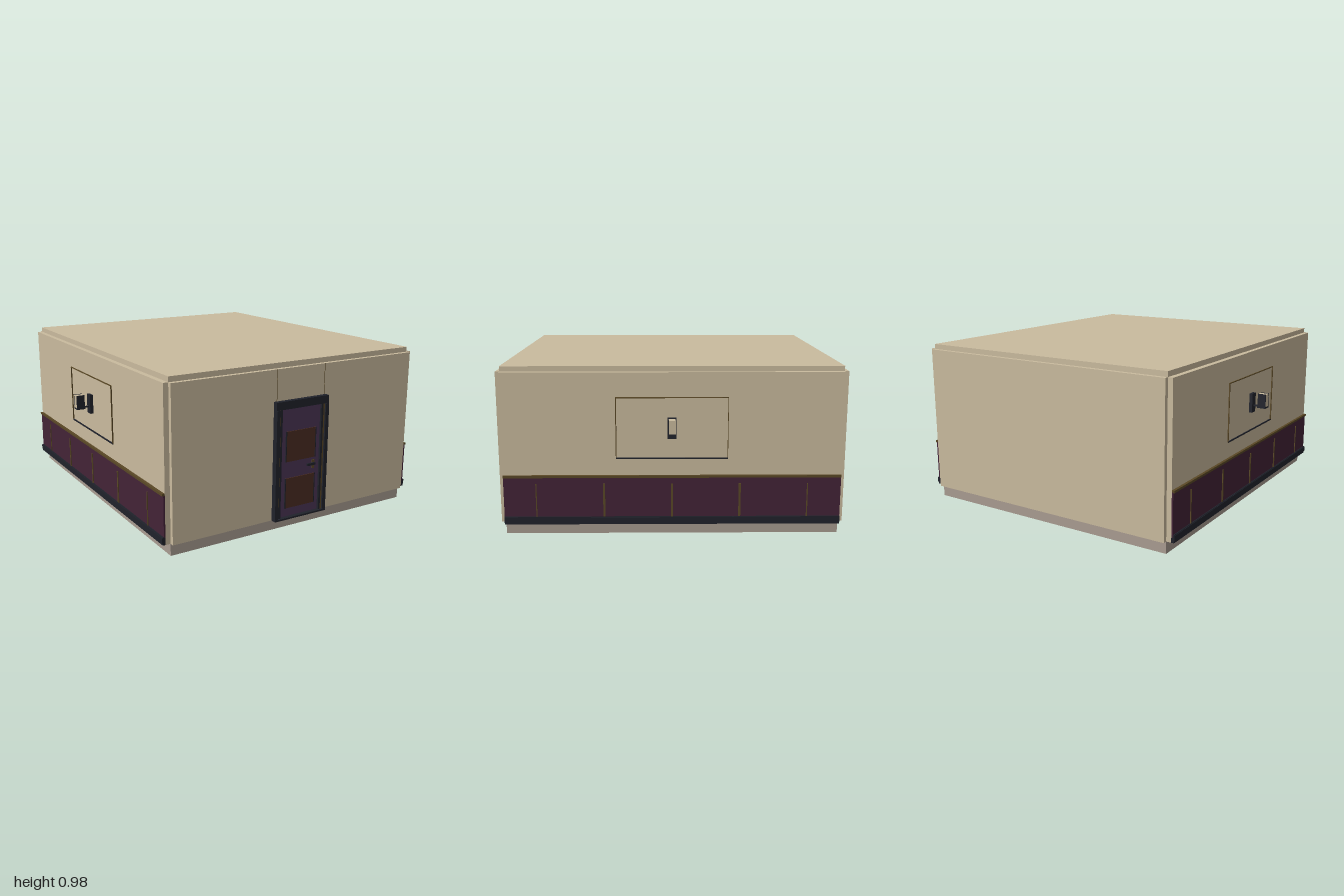
import * as THREE from 'three';

const mat = (name, color) => {
  const m = new THREE.MeshStandardMaterial({ color });
  m.name = name;
  return m;
};

export function createModel() {
  const plaster = mat('plaster', 0xcabb9e);
  const stone = mat('floorStone', 0xa99c91);
  const plum = mat('plumPanel', 0x432337);
  const violet = mat('violetDoor', 0x4a3555);
  const brown = mat('brownWood', 0x4b2d23);
  const dark = mat('darkTrim', 0x20222b);
  const brass = mat('agedBrass', 0x5a4826);

  const room = new THREE.Group();
  room.name = 'room';

  // Box given by its minimum and maximum along each axis
  const box = (parent, name, material, x0, x1, y0, y1, z0, z1) => {
    const mesh = new THREE.Mesh(new THREE.BoxGeometry(x1 - x0, y1 - y0, z1 - z0), material);
    mesh.position.set((x0 + x1) / 2, (y0 + y1) / 2, (z0 + z1) / 2);
    mesh.name = name;
    parent.add(mesh);
    return mesh;
  };
  const group = (name) => {
    const g = new THREE.Group();
    g.name = name;
    room.add(g);
    return g;
  };

  // Shell: floor slab, ceiling slab and walls, with open corners outside
  const BACK = -0.975, FRONT = 0.94, LOW = 0.07, HIGH = 0.945;
  const shell = group('shell');
  box(shell, 'floor', stone, -0.82, 0.82, 0, LOW, BACK, FRONT);
  box(shell, 'ceiling', plaster, -0.82, 0.82, HIGH, 0.975, BACK, FRONT);
  box(shell, 'backWall', plaster, -0.82, 0.82, LOW, HIGH, -1, BACK);
  box(shell, 'frontWallRight', plaster, -0.82, -0.165, LOW, HIGH, FRONT, 0.965);
  box(shell, 'frontWallLeft', plaster, 0.165, 0.82, LOW, HIGH, FRONT, 0.965);
  box(shell, 'doorHeaderWall', plaster, -0.165, 0.165, 0.74, HIGH, FRONT, 0.965);
  // Fine joints beside the header wall
  for (const x of [-0.165, 0.165]) {
    box(shell, 'wallJoint', brass, x - 0.0015, x + 0.0015, 0.765, HIGH, 0.955, 0.9655);
  }

  // Door with frame, panels and handle
  const door = group('door');
  box(door, 'doorLeaf', violet, -0.145, 0.14, 0.075, 0.725, 0.945, 0.975);
  for (const [y0, y1] of [[0.13, 0.31], [0.408, 0.586]]) {
    box(door, 'doorPanel', brown, -0.105, 0.102, y0, y1, 0.97, 0.98);
    for (const x of [-0.106, 0.1]) {
      box(door, 'panelBead', dark, x, x + 0.005, y0, y1, 0.97, 0.982);
    }
  }
  for (const s of [-1, 1]) {
    const c = -0.003;
    const strip = (name, m, a, b, z) =>
      box(door, name, m, c + Math.min(s * a, s * b), c + Math.max(s * a, s * b), LOW, 0.72, 0.96, z);
    strip('jambOuter', dark, 0.158, 0.181, 0.998);
    strip('jambInlay', brass, 0.149, 0.158, 0.988);
    strip('jambInner', dark, 0.136, 0.149, 0.988);
  }
  box(door, 'doorHead', dark, -0.184, 0.178, 0.72, 0.766, 0.962, 0.994);
  box(door, 'threshold', dark, -0.184, 0.178, LOW, 0.08, 0.962, 1);
  box(door, 'handlePlate', brass, 0.084, 0.1, 0.34, 0.392, 0.97, 0.98);
  box(door, 'handleNeck', dark, 0.087, 0.097, 0.366, 0.376, 0.975, 0.99);
  box(door, 'handleLever', dark, 0.04, 0.097, 0.364, 0.378, 0.984, 0.994);

  // Both side walls share one build, mirrored across x
  for (const s of [1, -1]) {
    const side = group(s > 0 ? 'leftSide' : 'rightSide');
    const put = (name, m, x0, x1, y0, y1, z0, z1) =>
      box(side, name, m, Math.min(s * x0, s * x1), Math.max(s * x0, s * x1), y0, y1, z0, z1);

    put('sideWall', plaster, 0.82, 0.85, LOW, HIGH, BACK, FRONT);

    // Wainscot with skirting, top rail and battens
    put('wainscot', plum, 0.85, 0.859, 0.1, 0.347, BACK, FRONT);
    put('topRail', brass, 0.85, 0.866, 0.345, 0.358, BACK, FRONT);
    put('skirting', dark, 0.85, 0.866, LOW, 0.115, BACK, FRONT);
    put('skirtingCap', dark, 0.85, 0.87, 0.082, 0.112, BACK, FRONT);
    for (let i = -2; i <= 2; i++) {
      const z = -0.015 + i * 0.385;
      const w = Math.abs(i) === 2 ? 0.003 : 0.006;
      put('batten', brass, 0.855, 0.864, 0.112, 0.31, z - w, z + w);
    }

    // Picture moulding on the wall
    put('mouldingTop', brass, 0.85, 0.857, 0.801, 0.806, -0.33, 0.3);
    put('mouldingBottom', dark, 0.85, 0.857, 0.453, 0.46, -0.33, 0.3);
    put('mouldingFront', brass, 0.85, 0.857, 0.455, 0.805, 0.296, 0.301);
    put('mouldingBack', brass, 0.85, 0.857, 0.455, 0.805, -0.331, -0.328);

    // Wall lamp
    put('lampBackplate', dark, 0.85, 0.87, 0.573, 0.69, -0.039, 0.009);
    put('lampArm', dark, 0.865, 0.915, 0.611, 0.62, -0.02, -0.01);
    put('lampShade', plaster, 0.905, 0.953, 0.615, 0.693, -0.034, 0.004);
    put('lampBase', dark, 0.902, 0.954, 0.608, 0.617, -0.039, 0.009);
    for (const z of [-0.039, 0.004]) {
      put('lampEndPlate', dark, 0.904, 0.954, 0.608, 0.695, z, z + 0.005);
    }
  }
  return room;
}
